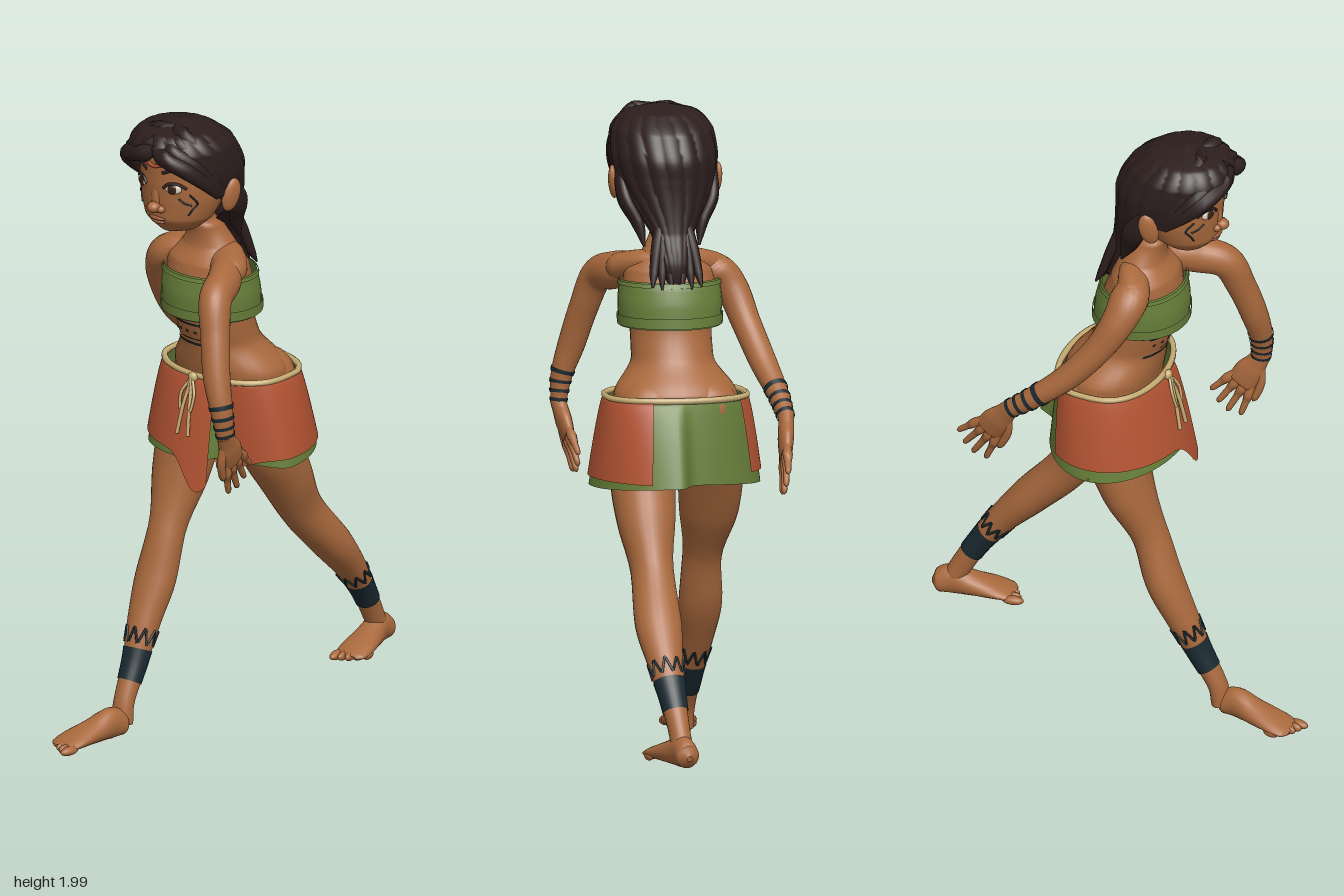
import * as THREE from 'three';
import { ParametricGeometry } from 'three/addons/geometries/ParametricGeometry.js';

const V = (x, y, z) => new THREE.Vector3(x, y, z);
const paint = (name, color) => {
  const m = new THREE.MeshStandardMaterial({ color, side: THREE.DoubleSide });
  m.name = name;
  return m;
};
const skin = paint('skin', 0xa9693d), hairMat = paint('dark hair', 0x2c1e1d), green = paint('green cloth', 0x677f3a);
const orange = paint('orange cloth', 0xb45433), cord = paint('beige cord', 0xc9ae74), ink = paint('ink', 0x1a2930);
const white = paint('eye white', 0xd8cfc0), iris = paint('brown iris', 0x3a2012), lip = paint('lip', 0x96573a);

// Surface swept through rings [x, y, z, rx, rz]; flat keeps the rings horizontal
function sweep(pts, flat = false, ripple = 0) {
  const path = new THREE.CatmullRomCurve3(pts.map(p => V(p[0], p[1], p[2])));
  const size = new THREE.CatmullRomCurve3(pts.map(p => V(p[3], p[4], 0)));
  return (u, v, grow, out) => {
    const c = path.getPoint(v), r = size.getPoint(v), a = u * Math.PI * 2;
    const t = flat ? V(0, 1, 0) : path.getTangent(v);
    const x = V(1, 0, 0).addScaledVector(t, -t.x).normalize();
    const z = t.clone().cross(x);
    const k = 1 + ripple * Math.abs(Math.sin(a * 9 + v * 5));
    return out.copy(c).addScaledVector(x, Math.cos(a) * (Math.max(r.x, 0.001) * k + grow))
      .addScaledVector(z, Math.sin(a) * (Math.max(r.y, 0.001) * k + grow));
  };
}
function add(parent, name, geo, mat) {
  const m = new THREE.Mesh(geo, mat);
  m.name = name;
  parent.add(m);
  return m;
}
// Part of a swept surface, lifted by grow
function patch(parent, name, s, mat, u0 = 0, u1 = 1, v0 = 0, v1 = 1, grow = 0, nu = 24, nv = 40) {
  return add(parent, name, new ParametricGeometry((u, v, o) =>
    s(u0 + (u1 - u0) * u, v0 + (v1 - v0) * v, grow, o), nu, nv), mat);
}
const limb = (parent, name, pts, mat, nu = 12, nv = 20) => patch(parent, name, sweep(pts), mat, 0, 1, 0, 1, 0, nu, nv);
function ball(parent, name, mat, p, s) {
  const m = add(parent, name, new THREE.SphereGeometry(1, 20, 14), mat);
  m.position.set(...p);
  m.scale.set(...s);
  return m;
}
function line(parent, name, pts, r, mat, closed = false, tension = 0.5) {
  const c = new THREE.CatmullRomCurve3(pts, closed, 'catmullrom', tension);
  return add(parent, name, new THREE.TubeGeometry(c, pts.length * 8, r, 6, closed), mat);
}

// Leg with a solid ankle band and a zigzag above it; drop lowers both
function leg(g, name, pts, drop) {
  const s = sweep(pts), n = pts.length - 1;
  patch(g, name, s, skin);
  patch(g, name + 'AnkleBand', s, ink, 0, 1, (5.5 + drop) / n, (6.35 + drop / 2) / n, 0.003, 24, 6);
  const zig = [];
  for (let i = 0; i < 18; i++) zig.push(s(i / 18, ((i % 2 ? 5.4 : 5) + drop) / n, 0.001, V()));
  line(g, name + 'Zigzag', zig, 0.004, ink, true, 0);
}
// Bare foot pointing along +z, big toe on the +x side
function foot(g, name, x, y, z, yaw, mirror) {
  const f = new THREE.Group();
  f.name = name;
  limb(f, 'sole', [[0, .035, -.005, .008, .008], [0, .038, .012, .036, .036], [0, .05, .055, .037, .049],
    [-.004, .04, .12, .046, .037], [-.008, .028, .2, .055, .022], [-.008, .02, .24, .05, .014], [-.008, .018, .255, .03, .006]], skin, 20, 30);
  for (let i = 0; i < 5; i++)
    ball(f, 'toe', skin, [.033 - i * .021, .017, .252 - i * i * .003], [i ? .0115 : .016, .014, i ? .026 : .034]);
  f.position.set(x, y, z);
  f.rotation.y = yaw;
  f.scale.x = mirror;
  g.add(f);
}
// Arm with four wrist lines
function arm(g, name, pts) {
  const s = sweep(pts);
  patch(g, name, s, skin);
  for (const v of [.795, .855, .915, .972]) patch(g, name + 'WristLine', s, ink, 0, 1, v, v + .022, .003, 20, 2);
}
// Hand from wrist w towards fingertip t, thumb on the forward side
function hand(g, name, w, t) {
  const h = new THREE.Group();
  h.name = name;
  const d = t.clone().sub(w), b = V(0, d.z, -d.y).normalize();
  const at = (k, side, rx, rz) => [...w.clone().addScaledVector(d, k).addScaledVector(b, side).toArray(), rx, rz];
  limb(h, 'palm', [at(-.06, 0, .024, .027), at(.12, 0, .024, .034), at(.32, 0, .024, .046), at(.52, 0, .019, .044), at(.58, 0, .004, .03)], skin, 16, 20);
  for (let i = 0; i < 4; i++) {
    const o = (i - 1.5) * .022, len = [.93, 1.02, 1.04, .96][i];
    limb(h, 'finger', [at(.45, o, .011, .011), at(.7, o * 1.4, .011, .011), at(len - .04, o * 1.75, .009, .009), at(len, o * 1.8, .002, .002)], skin, 8, 10);
  }
  limb(h, 'thumb', [at(.12, .015, .014, .016), at(.35, .05, .013, .014), at(.6, .062, .011, .011), at(.66, .063, .002, .002)], skin, 8, 10);
  g.add(h);
}

// Squarish waistline of the skirt at angle a (0 = front, positive towards +x)
const waist = (a, grow) => {
  const c = Math.cos(a);
  return V((.211 + grow) * Math.sin(a), 1.133, -.015 + (.156 + grow) * Math.sign(c) * Math.pow(Math.abs(c), c > 0 ? .8 : .65));
};
// Skirt shell between two angles; front gives its forward reach, the back hangs further out on the left
function skirt(g, name, mat, a0, a1, hem, front, grow) {
  add(g, name, new ParametricGeometry((u, v, o) => {
    const a = a0 + (a1 - a0) * u, s = Math.sin(a), c = Math.cos(a), top = waist(a, 0);
    const y = top.y + (hem(a) - top.y) * v, t = Math.pow((top.y - y) / .25, .75);
    const depth = c > 0 ? front(s) : .243 + .037 * Math.tanh(s * 16);
    o.set(top.x + (.05 * t + grow) * s, y, top.z + (c * depth - top.z) * t + grow * c);
  }, 100, 16), mat);
}

export function createModel() {
  const g = new THREE.Group();
  g.name = 'walkingGirl';

  // Legs and feet
  leg(g, 'rightLeg', [[-.11, 1, 0, .09, .12], [-.12, .88, .04, .1, .1], [-.122, .76, .08, .092, .08], [-.114, .6, .15, .06, .056],
    [-.118, .46, .195, .067, .058], [-.115, .34, .25, .054, .05], [-.105, .22, .305, .04, .038], [-.098, .1, .365, .034, .03], [-.095, .04, .375, .036, .03]], .22);
  leg(g, 'leftLeg', [[.1, 1, -.05, .09, .12], [.11, .88, -.07, .1, .1], [.112, .76, -.135, .09, .084], [.11, .62, -.22, .066, .068],
    [.115, .48, -.345, .072, .06], [.11, .37, -.44, .055, .046], [.1, .27, -.512, .04, .036], [.09, .17, -.57, .033, .034], [.085, .11, -.6, .034, .032]], 0);
  foot(g, 'rightFoot', -.09, .004, .372, -.12, 1);
  foot(g, 'leftFoot', .075, .072, -.65, .2, -1);

  // Torso, neck and belly lines
  const torso = sweep([[0, .92, -.04, .15, .1], [0, 1.05, -.025, .195, .145], [0, 1.14, -.017, .19, .146], [0, 1.24, .032, .126, .118],
    [0, 1.32, .06, .125, .115], [0, 1.42, .075, .14, .12], [0, 1.5, .085, .14, .1], [0, 1.555, .08, .09, .07],
    [0, 1.62, .1, .056, .054], [0, 1.7, .145, .056, .054]], true);
  patch(g, 'torso', torso, skin, 0, 1, 0, 1, 0, 32, 60);
  for (const s of [-1, 1]) ball(g, 'buttock', skin, [.088 * s, 1.09, -.068], [.1, .1, .098]);
  limb(g, 'shoulders', [[-.165, 1.488, .11, .03, .03], [-.14, 1.5, .1, .045, .05], [-.07, 1.525, .075, .04, .05], [0, 1.53, .06, .04, .05],
    [.07, 1.525, .085, .04, .055], [.13, 1.505, .14, .045, .058], [.16, 1.49, .18, .03, .03]].map(p => [p[0], p[1], p[2], p[4], p[3]]), skin, 20, 40);
  for (const v of [.325, .422]) patch(g, 'bellyLine', torso, ink, .62, .88, v, v + .011, .003, 16, 2);
  patch(g, 'bellyLine', torso, ink, .69, .81, .35, .356, .003, 10, 2);
  for (const u of [.65, .69, .73, .77, .81, .85]) patch(g, 'bellyDot', torso, ink, u - .007, u + .007, .382, .395, .003, 3, 3);

  // Strapless top
  const band = sweep([[0, 1.335, .07, .156, .146], [0, 1.4, .074, .16, .143], [0, 1.45, .077, .157, .133], [0, 1.478, .079, .154, .123]], true);
  patch(g, 'bandeau', band, green, 0, 1, 0, 1, 0, 36, 12);
  for (const v of [.02, .8]) patch(g, 'bandeauHem', band, green, 0, 1, v, v + .16, .005, 36, 3);

  // Arms and hands
  arm(g, 'leftArm', [[.06, 1.52, .07, .035, .035], [.148, 1.488, .18, .052, .058], [.188, 1.46, .266, .05, .053], [.222, 1.36, .305, .045, .046],
    [.255, 1.24, .335, .042, .042], [.285, 1.14, .345, .033, .036], [.295, 1.06, .34, .024, .029]]);
  hand(g, 'leftHand', V(.295, 1.06, .34), V(.258, .875, .23));
  arm(g, 'rightArm', [[-.06, 1.52, .085, .035, .035], [-.155, 1.488, .095, .052, .06], [-.195, 1.435, .08, .05, .053], [-.228, 1.34, .03, .045, .045],
    [-.264, 1.23, -.06, .042, .04], [-.292, 1.145, -.16, .033, .034], [-.302, 1.085, -.24, .025, .028]]);
  hand(g, 'rightHand', V(-.302, 1.085, -.24), V(-.272, .89, -.385));

  // Underskirt, and an overskirt whose pointed right panel overlaps the left one
  skirt(g, 'underskirt', green, -Math.PI, Math.PI, a => .868 + .01 * Math.cos(a * 2), s => .16 - .045 * Math.tanh((s - .25) * 14), 0);
  skirt(g, 'rightOverskirt', orange, -2.2, .37, a => .9 - .11 * Math.exp(-(((a - .25) / .25) ** 2)), () => .207, .008);
  skirt(g, 'leftOverskirt', orange, .22, 2.7, a => .888 - .05 * Math.exp(-(((a - .22) / .5) ** 2)), () => .117, .008);
  const rim = [];
  for (let i = 0; i < 32; i++) rim.push(waist(i / 16 * Math.PI, .005));
  line(g, 'waistCord', rim, .01, cord, true);
  ball(g, 'cordKnot', cord, [0, 1.13, .158], [.016, .016, .012]);
  for (const s of [-1, 1]) {
    line(g, 'cordEnd', [V(0, 1.13, .16), V(.012 * s, 1.05, .187), V(.022 * s, .955, .207)], .006, cord);
    line(g, 'cordLoop', [V(0, 1.13, .16), V(.026 * s, 1.08, .183), V(.016 * s, 1.03, .193), V(0, 1.13, .165)], .005, cord);
  }

  // Head
  const head = sweep([[0, 1.635, .23, .02, .02], [0, 1.65, .225, .066, .062], [0, 1.69, .215, .107, .108], [0, 1.75, .2, .128, .13],
    [0, 1.82, .19, .135, .145], [0, 1.9, .195, .126, .142], [0, 1.94, .2, .085, .09], [0, 1.96, .2, .01, .01]], true);
  patch(g, 'head', head, skin, 0, 1, 0, 1, 0, 36, 40);
  const onFace = (x, y, lift = .002) => {
    let lo = 0, hi = 1;
    for (let i = 0; i < 24; i++) {
      const m = (lo + hi) / 2;
      if (head(.75, m, 0, V()).y < y) lo = m; else hi = m;
    }
    const r = head(0, lo, 0, V()).x;
    return head(.75 + Math.asin(Math.max(-.99, Math.min(.99, x / r))) / Math.PI / 2, lo, lift, V());
  };
  ball(g, 'noseBridge', skin, [0, 1.762, .323], [.018, .04, .014]);
  ball(g, 'noseTip', skin, [0, 1.735, .336], [.021, .018, .023]);
  ball(g, 'upperLip', lip, [0, 1.696, .32], [.032, .007, .013]);
  ball(g, 'lowerLip', lip, [0, 1.684, .315], [.027, .008, .013]);
  ball(g, 'chin', skin, [0, 1.66, .27], [.04, .02, .02]);
  line(g, 'browMark', [onFace(-.03, 1.878), onFace(0, 1.87), onFace(.03, 1.878)], .006, orange);
  for (const s of [-1, 1]) {
    const stroke = (name, pts, r, mat) => line(g, name, pts.map(p => onFace(p[0] * s, p[1])), r, mat);
    ball(g, 'nostril', skin, [.02 * s, 1.73, .327], [.014, .012, .015]);
    const e = onFace(.063 * s, 1.803, 0);
    ball(g, 'eye', white, e.toArray(), [.026, .016, .008]).rotation.y = .4 * s;
    ball(g, 'iris', iris, [e.x - .002 * s, e.y, e.z + .004], [.017, .016, .007]).rotation.y = .35 * s;
    stroke('upperLid', [[.033, 1.804], [.05, 1.819], [.075, 1.82], [.095, 1.805]], .005, hairMat);
    stroke('eyebrow', [[.03, 1.852], [.06, 1.862], [.098, 1.85]], .005, hairMat);
    stroke('cheekMark', [[.075, 1.772], [.088, 1.757], [.102, 1.748]], .003, ink);
    stroke('cheekMark', [[.1, 1.785], [.112, 1.755], [.102, 1.735], [.092, 1.715]], .003, ink);
    const ear = ball(g, 'ear', skin, [.158 * s, 1.765, .16], [.016, .054, .03]);
    ear.rotation.set(-.25, -.3 * s, -.12 * s);
  }

  // Hair shell, open around the face
  const hair = sweep([[0, 1.46, -.035, .02, .01], [0, 1.53, -.018, .045, .028], [0, 1.62, .028, .065, .045], [0, 1.7, .09, .11, .095],
    [0, 1.77, .148, .147, .148], [0, 1.85, .185, .162, .178], [0, 1.92, .21, .154, .164], [0, 1.97, .225, .112, .112], [0, 1.996, .22, .001, .001]], true, .03);
  const gaps = [0, 0, .04, .2, .19, .14, .04, 0, 0];
  add(g, 'hair', new ParametricGeometry((u, v, o) => {
    const k = Math.min(Math.floor(v * 8), 7), gap = gaps[k] + (gaps[k + 1] - gaps[k]) * (v * 8 - k);
    hair(.75 + gap + u * (1 - 2 * gap), v, 0, o);
  }, 90, 50), hairMat);

  // Swept fringe, side locks and loose ends down the back
  for (const s of [-1, 1]) {
    for (let i = 0; i < 4; i++)
      limb(g, 'fringeLock', [[.02, 1.978 - i * .016, .26 + i * .032, .014, .012], [.02 + .045 * s, 1.965 - i * .018, .28 + i * .026, .03, .024],
        [.115 * s, 1.925 - i * .014, .255 + i * .024, .024, .028], [.143 * s, 1.85 - i * .006, .215 + i * .018, .018, .024],
        [.146 * s, 1.77, .17 + i * .012, .008, .012]], hairMat, 10, 20);
    limb(g, 'sideLock', [[.14 * s, 1.8, .15, .02, .03], [.135 * s, 1.72, .1, .022, .036], [.1 * s, 1.65, .07, .02, .028], [.085 * s, 1.58, .04, .004, .004]], hairMat);
    for (let i = 0; i < 3; i++)
      limb(g, 'backLock', [[.03 * s, 1.68, .03, .02, .02], [(.02 + i * .018) * s, 1.58, -.008, .018, .016],
        [(.018 + i * .026) * s, 1.5, -.034, .013, .012], [(.016 + i * .03) * s, 1.45 + i * .008, -.05, .003, .003]], hairMat, 8, 16);
  }
  return g;
}
